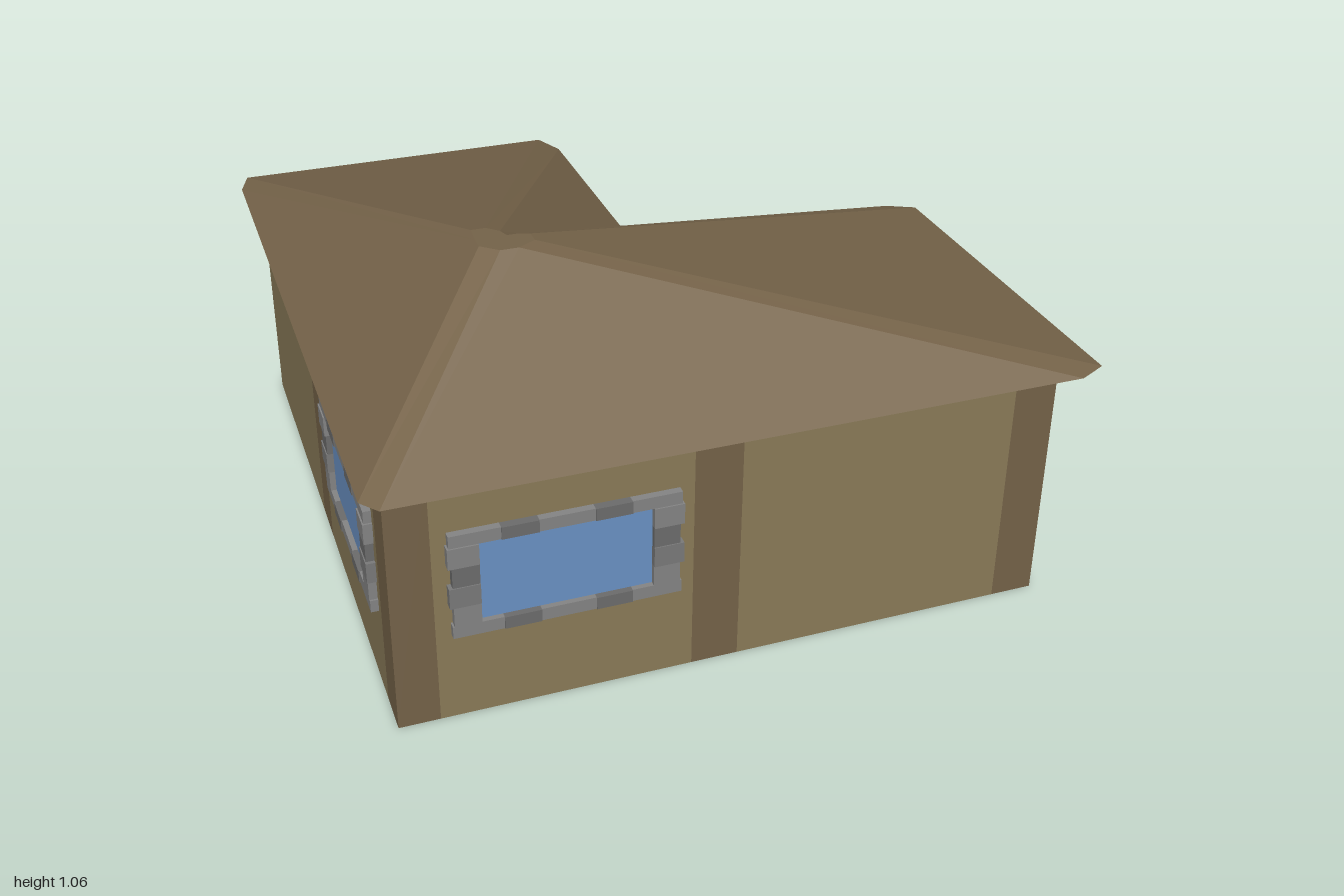
import * as THREE from 'three';

const mat = (color, side = THREE.FrontSide) =>
  new THREE.MeshStandardMaterial({ color, side, flatShading: true, roughness: 1 });
const WALL = mat(0x8a7b58), BROWN = mat(0x756349), GLASS = mat(0x6a92c4);
const STONES = [mat(0x858585), mat(0x6c6c6c), mat(0x7a7a7a)];
const EAVE = 0.73, PEAK = 1.06;

function add(parent, name, geometry, material, x = 0, y = 0, z = 0) {
  const mesh = new THREE.Mesh(geometry, material);
  mesh.name = name;
  mesh.position.set(x, y, z);
  parent.add(mesh);
  return mesh;
}

// Box given by its edges on the wall, standing out from z = 0 to depth
function block(parent, name, x0, x1, y0, y1, depth, material) {
  add(parent, name, new THREE.BoxGeometry(x1 - x0, y1 - y0, depth), material,
    (x0 + x1) / 2, (y0 + y1) / 2, depth / 2);
}

// Row of stones laid between fractions of a length
const CUTS = [0, 0.22, 0.38, 0.62, 0.78, 1];
function stoneRow(parent, x0, x1, y0, y1) {
  for (let i = 0; i < 5; i++) {
    block(parent, 'lintelStone', x0 + (x1 - x0) * CUTS[i], x0 + (x1 - x0) * CUTS[i + 1],
      y0, y1, 0.021 + (i % 2) * 0.003, STONES[i % 2]);
  }
}

// Column of stones whose outer edge steps in and out
function stoneColumn(parent, inner, outer, y0, y1, count) {
  const dir = Math.sign(outer - inner), h = (y1 - y0) / count;
  for (let i = 0; i < count; i++) {
    const edge = outer + dir * (i % 2 ? 0.005 : -0.005);
    block(parent, 'jambStone', Math.min(inner, edge), Math.max(inner, edge),
      y0 + i * h, y0 + (i + 1) * h, 0.022 + (i % 2) * 0.003, STONES[(i * 2) % 3]);
  }
}

function addWindow(wall, u) {
  const g = new THREE.Group();
  g.name = 'window';
  g.position.x = u;
  block(g, 'glass', -0.225, 0.225, 0.295, 0.53, 0.006, GLASS);
  stoneRow(g, -0.3, 0.3, 0.53, 0.565);
  stoneRow(g, -0.3, 0.3, 0.26, 0.295);
  for (const s of [-1, 1]) stoneColumn(g, s * 0.225, s * 0.3, 0.295, 0.53, 4);
  wall.add(g);
}

function addDoor(wall, u) {
  const g = new THREE.Group();
  g.name = 'door';
  g.position.x = u;
  block(g, 'doorPanel', -0.115, 0.115, 0, 0.53, 0.006, BROWN);
  stoneRow(g, -0.172, 0.172, 0.53, 0.555);
  for (const s of [-1, 1]) stoneColumn(g, s * 0.115, s * 0.165, 0, 0.53, 9);
  const stem = add(g, 'handleStem', new THREE.CylinderGeometry(0.006, 0.006, 0.03, 8), BROWN, -0.09, 0.24, 0.02);
  stem.rotation.x = Math.PI / 2;
  add(g, 'handleLever', new THREE.BoxGeometry(0.06, 0.014, 0.01), BROWN, -0.07, 0.24, 0.035);
  wall.add(g);
}

// Wall seen from outside: starts at (x, z), runs along its own +x, with brown strips
function addWall(parent, name, x, z, turn, length, strips) {
  const g = new THREE.Group();
  g.name = name;
  g.position.set(x, 0, z);
  g.rotation.y = turn;
  const panel = (a, b, m, n) => {
    if (b - a > 0.001) add(g, n, new THREE.PlaneGeometry(b - a, EAVE), m, (a + b) / 2, EAVE / 2, 0);
  };
  let at = 0;
  for (const [a, b] of strips) {
    panel(at, a, WALL, 'wallPanel');
    panel(a, b, BROWN, 'cornerStrip');
    at = b;
  }
  panel(at, length, WALL, 'wallPanel');
  parent.add(g);
  return g;
}

// Flat L-shaped sheet from [x, z] points
function sheet(parent, name, points, y) {
  const shape = new THREE.Shape(points.map(([x, z]) => new THREE.Vector2(x, z)));
  const geo = new THREE.ShapeGeometry(shape).rotateX(Math.PI / 2);
  add(parent, name, geo, mat(0x756349, THREE.DoubleSide), 0, y, 0);
}

// Each eave corner [x, z] with the point of the small top it rises to
const ROOF = [
  [-0.98, 0.95, -0.535, 0.40], [-0.94, 1, -0.49, 0.44], [0.9, 1, -0.44, 0.44],
  [0.98, 0.96, -0.39, 0.41], [0.98, -0.09, -0.39, 0.37], [0.9, -0.13, -0.42, 0.36],
  [0.07, -0.13, -0.45, 0.36], [0.07, -0.9, -0.46, 0.33], [0.03, -1, -0.49, 0.30],
  [-0.95, -1, -0.53, 0.30], [-0.98, -0.91, -0.535, 0.36],
];

function addRoof(parent) {
  const pos = [];
  ROOF.forEach((p, i) => {
    const q = ROOF[(i + 1) % ROOF.length];
    const a = [p[0], EAVE, p[1]], b = [q[0], EAVE, q[1]];
    const c = [q[2], PEAK, q[3]], d = [p[2], PEAK, p[3]];
    pos.push(...a, ...b, ...c, ...a, ...c, ...d);
    pos.push(...d, ...c, -0.48, PEAK, 0.38);
  });
  const geo = new THREE.BufferGeometry();
  geo.setAttribute('position', new THREE.Float32BufferAttribute(pos, 3));
  geo.computeVertexNormals();
  add(parent, 'roof', geo, BROWN);
  sheet(parent, 'eaves', ROOF.map(([x, z]) => [x, z]), EAVE);
}

export function createModel() {
  const house = new THREE.Group();
  house.name = 'house';
  const q = Math.PI / 2;

  // Walls, going round the L
  const front = addWall(house, 'frontWall', -0.92, 0.9, 0, 1.81, [[0, 0.11], [0.79, 0.92], [1.69, 1.81]]);
  const right = addWall(house, 'leftWall', 0.89, 0.9, q, 0.9, [[0, 0.12], [0.76, 0.9]]);
  addWall(house, 'innerBackWall', 0.89, 0, 2 * q, 0.89, []);
  const inner = addWall(house, 'entranceWall', 0, 0, q, 0.91, [[0.8, 0.91]]);
  const back = addWall(house, 'backWall', 0, -0.91, 2 * q, 0.92, [[0.81, 0.92]]);
  const left = addWall(house, 'rightWall', -0.92, -0.91, -q, 1.81, [[0.79, 0.92], [1.69, 1.81]]);

  // Openings
  addWindow(front, 0.45);
  addWindow(right, 0.445);
  addWindow(back, 0.46);
  addWindow(left, 1.36);
  addDoor(inner, 0.46);

  sheet(house, 'floor', [[-0.92, 0.9], [0.89, 0.9], [0.89, 0], [0, 0], [0, -0.91], [-0.92, -0.91]], 0.003);
  addRoof(house);
  return house;
}
